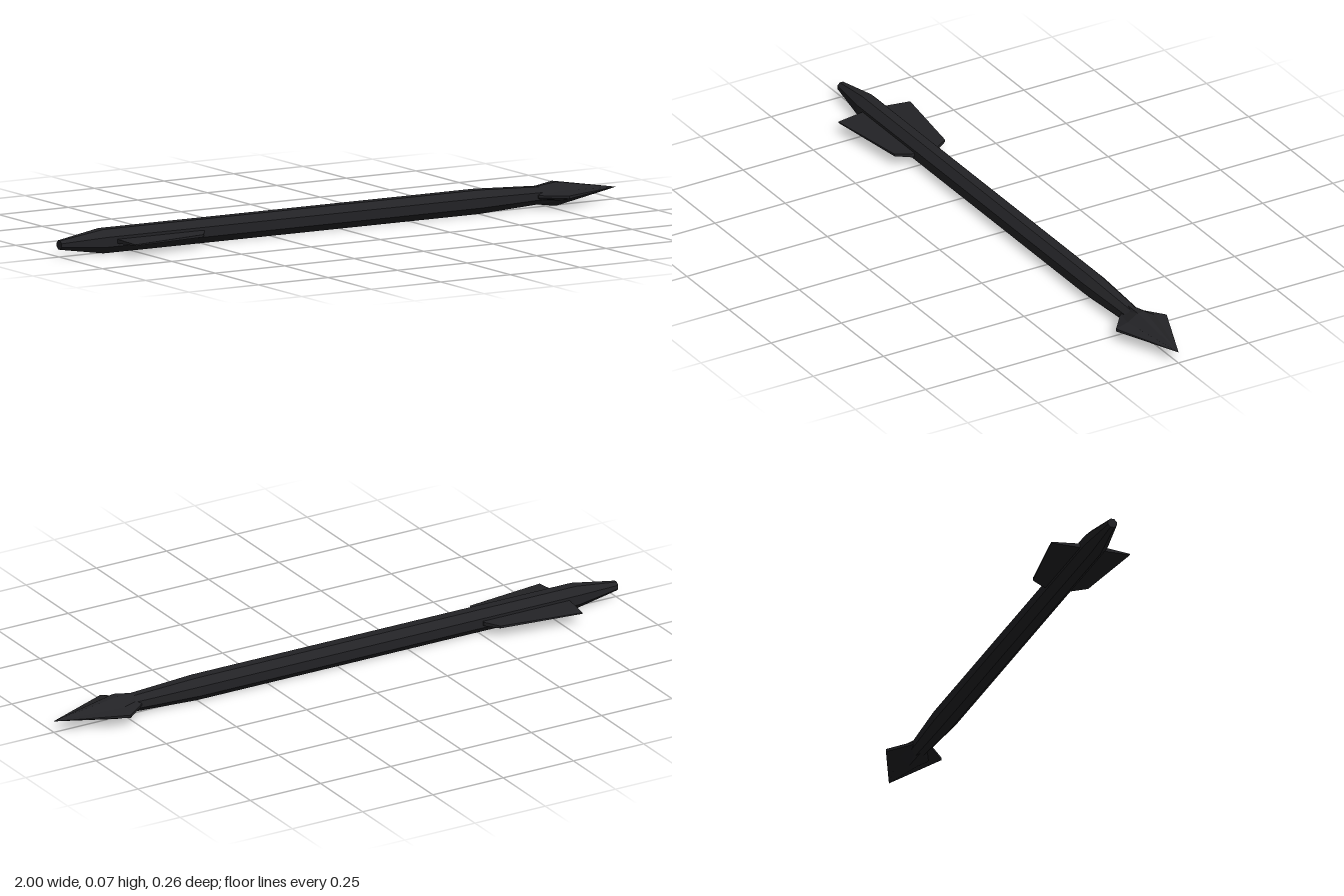
import * as THREE from 'three';
import { ConvexGeometry } from 'three/addons/geometries/ConvexGeometry.js';

const AXIS_Y = 0.037;
const material = new THREE.MeshStandardMaterial({ color: 0x232326, flatShading: true });

// Skin closed cross-sections, each { x, ring: [[y, z], ...] }, along +x and cap both ends.
function loft(sections) {
  const pos = [];
  const n = sections[0].ring.length;
  const at = (s, j) => [s.x, ...s.ring[j % n]];
  for (let i = 0; i < sections.length - 1; i++) {
    for (let j = 0; j < n; j++) {
      const a = at(sections[i], j), b = at(sections[i], j + 1);
      const c = at(sections[i + 1], j), d = at(sections[i + 1], j + 1);
      pos.push(...a, ...b, ...c, ...b, ...d, ...c);
    }
  }
  const first = sections[0], last = sections[sections.length - 1];
  for (let j = 0; j < n; j++) {
    pos.push(first.x, 0, 0, ...at(first, j + 1), ...at(first, j));
    pos.push(last.x, 0, 0, ...at(last, j), ...at(last, j + 1));
  }
  const g = new THREE.BufferGeometry();
  g.setAttribute('position', new THREE.Float32BufferAttribute(pos, 3));
  g.computeVertexNormals();
  return g;
}

// Octagon with a flat on top; r is the distance to the flats.
function octagon(x, r) {
  const ring = [];
  for (let k = 0; k < 8; k++) {
    const a = (k + 0.5) * Math.PI / 4, R = r / Math.cos(Math.PI / 8);
    ring.push([R * Math.cos(a), R * Math.sin(a)]);
  }
  return { x, ring };
}

// Arrowhead section: thick spine flowing out to thin blades.
function headSection(x, h, w) {
  const quarter = [[1, 0.14], [0.42, 0.54], [0.12, 1]];
  const side = [...quarter, ...quarter.map(([y, z]) => [-y, z]).reverse()];
  const full = [...side, ...side.map(([y, z]) => [y, -z]).reverse()];
  return { x, ring: full.map(([y, z]) => [y * h, z * w]) };
}

export function createModel() {
  const arrow = new THREE.Group();
  arrow.name = 'arrow';
  const add = (name, geometry) => {
    const m = new THREE.Mesh(geometry, material);
    m.name = name;
    m.position.y = AXIS_Y;
    arrow.add(m);
  };

  // Shaft, tapered at the nock and behind the head
  const profile = [[-1, 0.014], [-0.85, 0.037], [0.5, 0.037], [0.72, 0.027], [0.75, 0.024]];
  add('shaft', loft(profile.map(([x, r]) => octagon(x, r))));

  // Pointed head
  add('head', loft([
    headSection(0.705, 0.027, 0.03),
    headSection(0.78, 0.037, 0.09),
    headSection(1, 0.0005, 0.0005),
  ]));

  // Pair of fins, thinning outwards
  const outline = [[-0.815, 0.02], [-0.505, 0.02], [-0.505, 0.045], [-0.535, 0.09], [-0.805, 0.128]];
  for (const s of [1, -1]) {
    const points = outline.flatMap(([x, z]) => [1, -1].map(
      (t) => new THREE.Vector3(x, t * (0.0085 - 0.052 * z), s * z)));
    add(s > 0 ? 'frontFin' : 'backFin', new ConvexGeometry(points));
  }
  return arrow;
}
